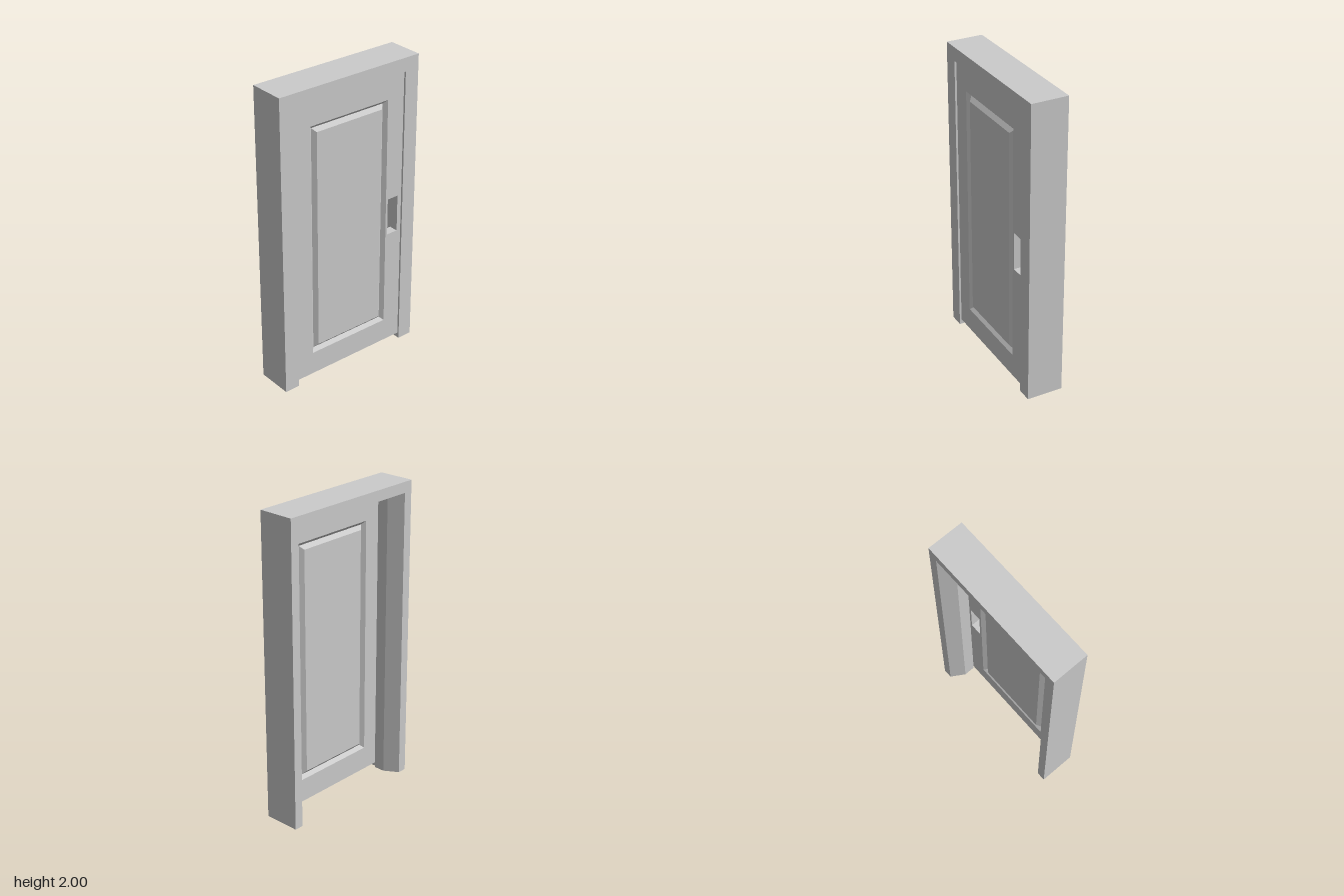
import * as THREE from 'three';

const material = new THREE.MeshStandardMaterial({ color: 0xcccccc });

function add(group, name, geometry) {
  const mesh = new THREE.Mesh(geometry, material);
  mesh.name = name;
  group.add(mesh);
  return mesh;
}

// Flat-faced geometry from a list of triangles (each three Vector3)
function fromTriangles(triangles) {
  const geometry = new THREE.BufferGeometry().setFromPoints(triangles.flat());
  geometry.computeVertexNormals();
  return geometry;
}

function rectangle(Type, x0, x1, y0, y1) {
  return new Type([[x0, y0], [x1, y0], [x1, y1], [x0, y1]].map(([x, y]) => new THREE.Vector2(x, y)));
}

const DOOR_FRONT = 0.107, DOOR_BACK = 0.045;
const PANEL = { x: 0.295, y0: 0.19, y1: 1.757 };

// Moulded section swept up one jamb, across the head and down the other, mitred at the corners
function frameGeometry() {
  // half width, head height, depth
  const profile = [
    [0.52, 2, -0.12], [0.52, 2, 0.12],
    [0.42, 1.91, 0.12], [0.42, 1.91, DOOR_BACK],      // rebate for the door
    [0.405, 1.895, DOOR_BACK], [0.405, 1.895, -0.03], // door stop
    [0.46, 1.93, -0.12],                              // splayed back edge
  ];
  const rings = [[-1, 0], [-1, 1], [1, 1], [1, 0]].map(([sx, sy]) =>
    profile.map(([w, h, z]) => new THREE.Vector3(sx * w, sy * h, z)));
  const triangles = [];
  for (let k = 0; k < 3; k++) {
    for (let i = 0; i < profile.length; i++) {
      const j = (i + 1) % profile.length;
      const a = rings[k][i], b = rings[k][j], c = rings[k + 1][j], d = rings[k + 1][i];
      triangles.push([a, b, c], [a, c, d]);
    }
  }
  // Feet of the jambs, facing down
  for (const ring of [rings[0], rings[3]]) {
    const contour = ring.map((p) => new THREE.Vector2(p.x, p.z));
    for (const [a, b, c] of THREE.ShapeUtils.triangulateShape(contour, [])) {
      const t = [ring[a], ring[b], ring[c]];
      const up = t[1].clone().sub(t[0]).cross(t[2].clone().sub(t[0])).y;
      triangles.push(up > 0 ? [t[0], t[2], t[1]] : t);
    }
  }
  return fromTriangles(triangles);
}

// Door leaf with openings for the panel and the handle
function leafGeometry() {
  const shape = rectangle(THREE.Shape, -0.42, 0.42, 0.035, 1.91);
  shape.holes.push(
    rectangle(THREE.Path, -PANEL.x, PANEL.x, PANEL.y0, PANEL.y1),
    rectangle(THREE.Path, 0.31, 0.39, 0.83, 1.08),
  );
  return new THREE.ExtrudeGeometry(shape, { depth: DOOR_FRONT - DOOR_BACK, bevelEnabled: false })
    .translate(0, 0, DOOR_BACK);
}

// One face of the panel: nested rectangles forming a V groove around a raised field
function panelGeometry() {
  const steps = [[0, 0], [0.023, -0.023], [0.048, 0]]; // inset, depth
  const rings = steps.map(([inset, z]) => {
    const x = PANEL.x - inset, y0 = PANEL.y0 + inset, y1 = PANEL.y1 - inset;
    return [[-x, y0], [x, y0], [x, y1], [-x, y1]].map(([px, py]) => new THREE.Vector3(px, py, z));
  });
  const triangles = [];
  const quad = (a, b, c, d) => triangles.push([a, b, c], [a, c, d]);
  for (let s = 0; s < steps.length - 1; s++) {
    for (let i = 0; i < 4; i++) {
      const j = (i + 1) % 4;
      quad(rings[s][i], rings[s][j], rings[s + 1][j], rings[s + 1][i]);
    }
  }
  quad(...rings[steps.length - 1]);
  return fromTriangles(triangles);
}

export function createModel() {
  const model = new THREE.Group();
  model.name = 'doorway';
  add(model, 'doorFrame', frameGeometry());

  const door = new THREE.Group();
  door.name = 'door';
  model.add(door);
  add(door, 'doorLeaf', leafGeometry());
  add(door, 'frontPanel', panelGeometry()).position.z = DOOR_FRONT;
  const back = add(door, 'backPanel', panelGeometry());
  back.position.z = DOOR_BACK;
  back.rotation.y = Math.PI;
  return model;
}
